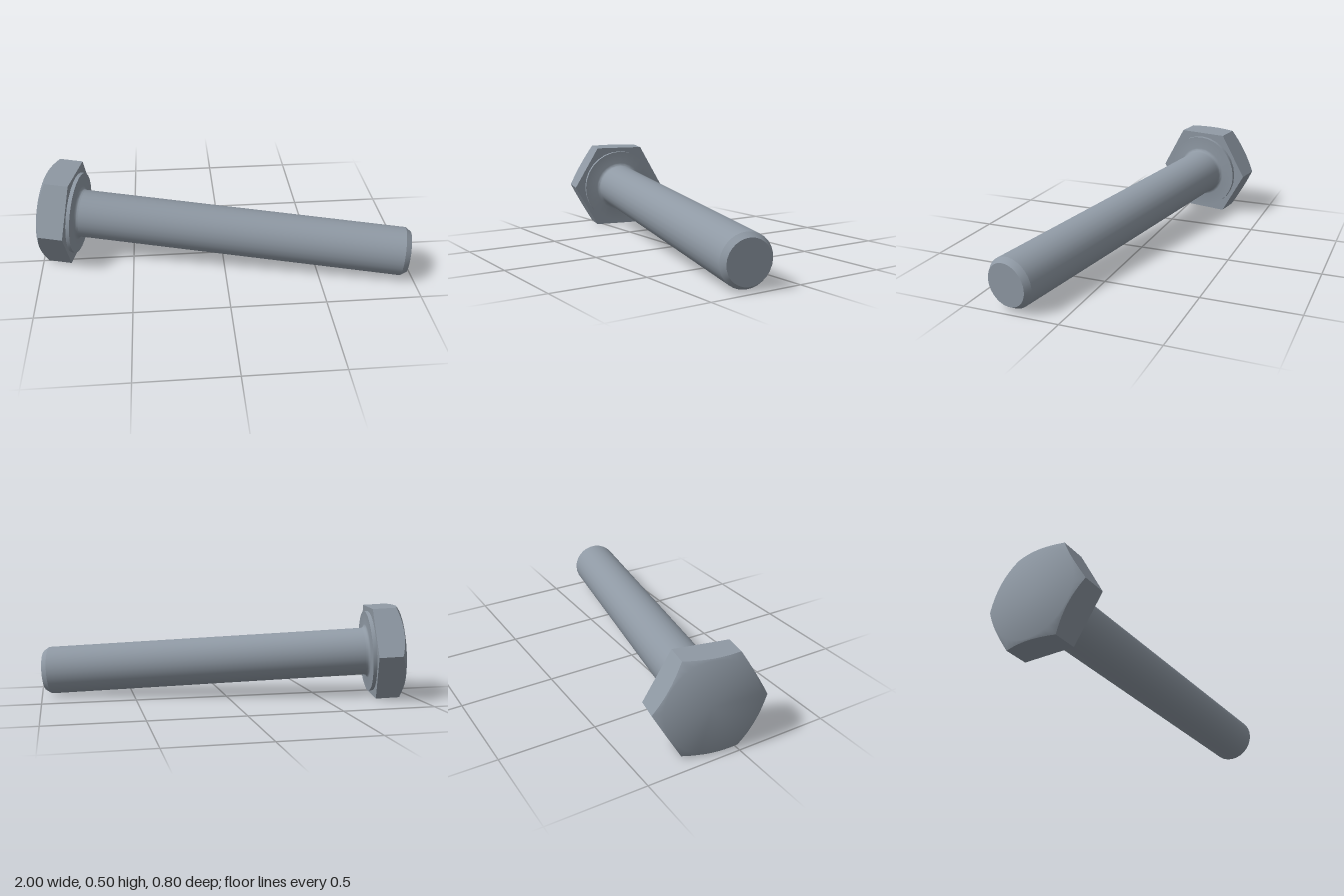
import * as THREE from 'three';
import { toCreasedNormals } from 'three/addons/utils/BufferGeometryUtils.js';

const APOTHEM = 0.246;      // centre of the hex head to a flat
const FLAT_RADIUS = 0.238;  // circle where the head chamfer starts
const BACK = -0.154;        // outer face of the head
const LENGTH = 1.82;        // seat of the head to the tip

const lathe = (points, segments) =>
  new THREE.LatheGeometry(points.map(([r, y]) => new THREE.Vector2(r, y)), segments);

// Hexagonal head: a lathe whose rim is pushed out to a hexagon, with a conical chamfer
function headGeometry() {
  const geometry = lathe([[0, BACK], [FLAT_RADIUS, BACK], [1, BACK], [1, 0], [0, 0]], 48);
  const p = geometry.attributes.position;
  const sector = Math.PI / 3;
  for (let i = 0; i < p.count; i++) {
    const x = p.getX(i), y = p.getY(i), z = p.getZ(i);
    if (Math.hypot(x, z) < 0.9) continue;
    const angle = Math.atan2(x, z);
    const r = APOTHEM / Math.cos(angle - Math.round(angle / sector) * sector);
    const rimY = y < -0.01 ? BACK + (r - FLAT_RADIUS) * 0.577 : y;
    p.setXYZ(i, x * r, rimY, z * r);
  }
  return toCreasedNormals(geometry, 0.8);
}

// Washer face, fillet, shank and chamfered tip
function shankGeometry() {
  const r = 0.131, fillet = 0.02, seat = 0.02;
  const points = [[0.223, 0], [0.223, seat]];
  for (let i = 0; i <= 4; i++) {
    const a = (i / 4) * Math.PI / 2;
    points.push([r + fillet * (1 - Math.sin(a)), seat + fillet * (1 - Math.cos(a))]);
  }
  points.push([r, LENGTH - 0.03], [0.111, LENGTH], [0, LENGTH]);
  return toCreasedNormals(lathe(points, 28), 0.45);
}

export function createModel() {
  const steel = new THREE.MeshStandardMaterial({ color: 0x8f99a4 });
  steel.name = 'steel';

  const bolt = new THREE.Group();
  bolt.name = 'bolt';
  const add = (name, geometry) => {
    const mesh = new THREE.Mesh(geometry, steel);
    mesh.name = name;
    bolt.add(mesh);
  };
  add('hexHead', headGeometry());
  add('shank', shankGeometry());

  // Lay the bolt down so that its tip and one head corner touch the ground
  const axis = new THREE.Vector3(0.976, -0.061, 0.207).normalize();
  const side = new THREE.Vector3(-axis.z, 0, axis.x).normalize();
  const up = new THREE.Vector3().crossVectors(side, axis);
  bolt.quaternion.setFromRotationMatrix(new THREE.Matrix4().makeBasis(side, axis, up));
  bolt.position.set(-0.8, 0.246, -0.099);

  const model = new THREE.Group();
  model.name = 'model';
  model.add(bolt);
  return model;
}
